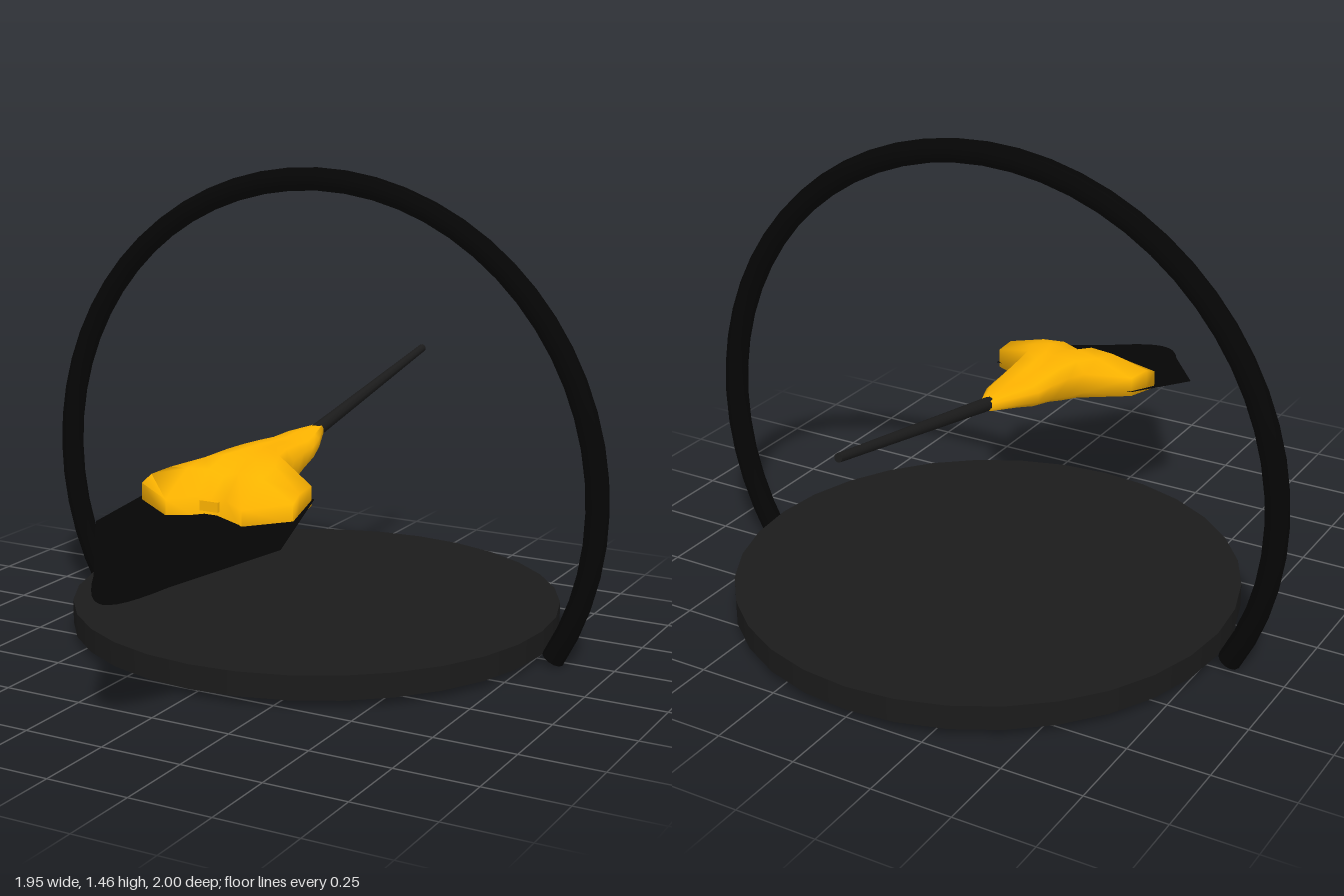
import * as THREE from 'three';
import { toCreasedNormals } from 'three/addons/utils/BufferGeometryUtils.js';

const mat = (color) => new THREE.MeshStandardMaterial({ color, side: THREE.DoubleSide });
const BLACK = mat(0x050505), DARK = mat(0x1b1b1b), YELLOW = mat(0xffb400);
const CX = 0.012; // the glider sits slightly to its left

function add(parent, name, geometry, material) {
  const mesh = new THREE.Mesh(geometry, material);
  mesh.name = name;
  parent.add(mesh);
  return mesh;
}

function addGroup(parent, name, x, y, z) {
  const group = new THREE.Group();
  group.name = name;
  group.position.set(x, y, z);
  parent.add(group);
  return group;
}

// Body sections: [z, half width, crown, inner crown, shoulder, tip top, tip bottom, keel side, keel]
const SECTIONS = [
  [-0.21, 0.018, 0.663, 0.662, 0.66, 0.652, 0.636, 0.628, 0.626],
  [-0.1, 0.062, 0.66, 0.66, 0.656, 0.644, 0.618, 0.605, 0.602],
  [-0.03, 0.08, 0.652, 0.653, 0.65, 0.634, 0.602, 0.585, 0.582],
  [0.05, 0.09, 0.655, 0.658, 0.655, 0.632, 0.586, 0.57, 0.565],
  [0.13, 0.1, 0.657, 0.664, 0.658, 0.626, 0.565, 0.547, 0.543],
  [0.2, 0.118, 0.657, 0.665, 0.656, 0.618, 0.556, 0.532, 0.527],
  [0.28, 0.24, 0.65, 0.66, 0.643, 0.6, 0.54, 0.515, 0.515],
  [0.37, 0.25, 0.618, 0.634, 0.628, 0.596, 0.528, 0.497, 0.495],
  [0.445, 0.255, 0.568, 0.57, 0.56, 0.578, 0.522, 0.5, 0.487],
];

function bodyGeometry() {
  const fractions = [0, 0.2, 0.5, 1, 1, 0.5, 0];
  const noseShift = [0, 0, 0.042, -0.03, -0.03, 0.042, 0];
  const pos = [], index = [];
  const n = 12;
  SECTIONS.forEach(([z, w, ...ys], r) => {
    // The narrow tail is rounder than the wide head
    const shoulder = w < 0.2 ? 0.25 : 0;
    for (let j = 0; j < n; j++) {
      const k = j <= 6 ? j : n - j, side = j <= 6 ? 1 : -1;
      const f = fractions[k] + (k === 2 || k === 5 ? shoulder : 0);
      const dz = r === SECTIONS.length - 1 ? noseShift[k] : 0;
      pos.push(CX + side * w * f, ys[k], z + dz);
    }
  });
  for (let r = 0; r < SECTIONS.length - 1; r++) {
    for (let j = 0; j < n; j++) {
      const a = r * n + j, b = r * n + (j + 1) % n;
      index.push(a, b + n, b, a, a + n, b + n);
    }
  }
  // Caps: strips between the top and bottom points of the end sections
  const last = (SECTIONS.length - 1) * n;
  const top = [9, 10, 11, 0, 1, 2, 3], low = [8, 7, 6, 6, 6, 5, 4];
  for (const [o, flip] of [[0, false], [last, true]]) {
    for (let i = 0; i < 6; i++) {
      const a = o + top[i], b = o + top[i + 1], c = o + low[i + 1], d = o + low[i];
      if (flip) index.push(a, d, c, a, c, b);
      else index.push(a, c, d, a, b, c);
    }
  }
  const g = new THREE.BufferGeometry();
  g.setAttribute('position', new THREE.Float32BufferAttribute(pos, 3));
  g.setIndex(index);
  return toCreasedNormals(g, 1.5);
}

// Flat sheet under the nose, tilted along the body's pitch
function sheetGeometry() {
  const s = new THREE.Shape();
  s.moveTo(-0.245, 0.27);
  s.lineTo(0.245, 0.27);
  s.lineTo(0.307, 0.58);
  s.lineTo(0.12, 0.865);
  s.bezierCurveTo(0.03, 1.045, -0.03, 1.045, -0.12, 0.865);
  s.lineTo(-0.307, 0.58);
  s.closePath();
  const g = new THREE.ShapeGeometry(s, 12);
  const p = g.attributes.position;
  for (let i = 0; i < p.count; i++) {
    const z = p.getY(i);
    p.setXYZ(i, p.getX(i) + CX, 0.512 - 0.21 * (z - 0.49), z);
  }
  g.computeVertexNormals();
  return g;
}

export function createModel() {
  const model = new THREE.Group();
  model.name = 'ringDisplay';

  // Round base: a shallow shell, open underneath
  const base = addGroup(model, 'base', 0, 0.0625, -0.222);
  add(base, 'baseRim', new THREE.CylinderGeometry(0.777, 0.777, 0.075, 32, 1, true), DARK);
  const top = add(base, 'baseTop', new THREE.CircleGeometry(0.777, 32), DARK);
  top.rotation.x = -Math.PI / 2;
  top.position.y = 0.0375;

  // Open ring, 240 degrees, with closed ends
  const R = 0.94, tube = 0.036, start = -Math.PI / 6, arc = Math.PI * 4 / 3;
  const ring = addGroup(model, 'ring', 0, 0.49, -0.22);
  add(ring, 'ringTube', new THREE.TorusGeometry(R, tube, 12, 40, arc), BLACK).rotation.z = start;
  for (const a of [start, start + arc]) {
    const cap = add(ring, 'ringEnd', new THREE.CircleGeometry(tube, 12), BLACK);
    cap.position.set(R * Math.cos(a), R * Math.sin(a), 0);
    cap.rotation.set(Math.PI / 2, 0, a, 'ZYX');
  }

  // Body, nose tab and sheet
  add(model, 'body', bodyGeometry(), YELLOW);
  add(model, 'noseTab', new THREE.BoxGeometry(0.06, 0.03, 0.04), YELLOW)
    .position.set(CX, 0.548, 0.436);
  add(model, 'noseSheet', sheetGeometry(), BLACK);

  // Tapered rod running back from the body
  const from = new THREE.Vector3(CX, 0.643, -0.19), to = new THREE.Vector3(CX, 0.786, -0.97);
  const dir = to.clone().sub(from);
  const rod = add(model, 'rod', new THREE.CylinderGeometry(0.013, 0.021, dir.length(), 10), DARK);
  rod.position.copy(from).add(to).multiplyScalar(0.5);
  rod.quaternion.setFromUnitVectors(new THREE.Vector3(0, 1, 0), dir.normalize());

  return model;
}
